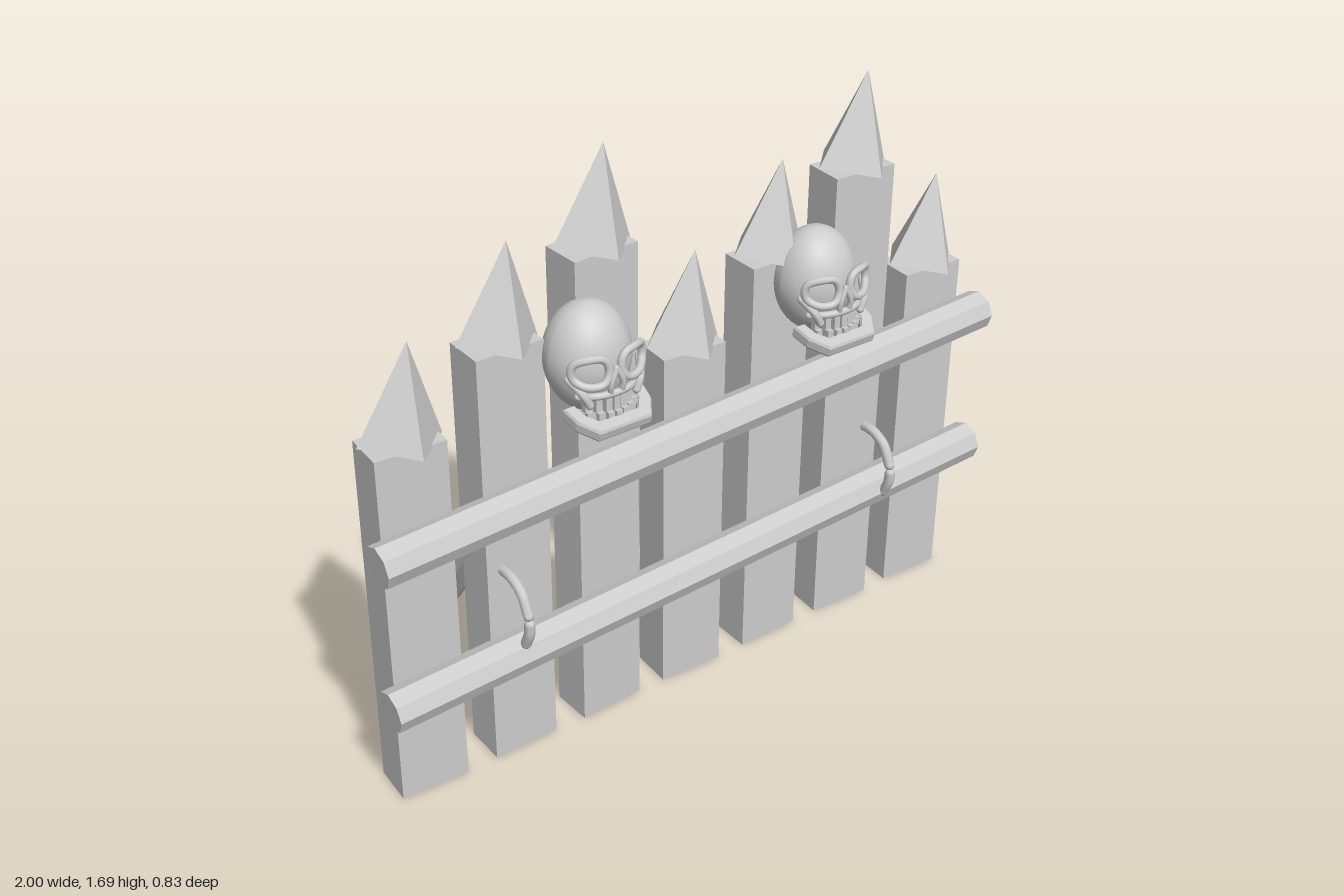
import * as THREE from 'three';

const grey = new THREE.MeshStandardMaterial({ color: 0xcccccc });
const V = (x, y, z) => new THREE.Vector3(x, y, z);

function part(parent, name, geometry, position = V(0, 0, 0)) {
  const mesh = new THREE.Mesh(geometry, grey);
  mesh.name = name;
  mesh.position.copy(position);
  parent.add(mesh);
  return mesh;
}

// Faceted normals for the low-poly timber
function faceted(geometry) {
  const g = geometry.toNonIndexed();
  g.computeVertexNormals();
  return g;
}

// Straight rod with the given number of sides between two points
function rod(parent, name, a, b, radius, sides = 8) {
  const dir = b.clone().sub(a);
  const g = faceted(new THREE.CylinderGeometry(radius, radius, dir.length(), sides));
  const mesh = part(parent, name, g, a.clone().add(b).multiplyScalar(0.5));
  mesh.quaternion.setFromUnitVectors(V(0, 1, 0), dir.normalize());
  return mesh;
}

// Curved bar with rounded ends
function bar(parent, name, points, radius, closed = false, segments = 16) {
  const curve = new THREE.CatmullRomCurve3(points, closed);
  part(parent, name, new THREE.TubeGeometry(curve, segments, radius, 8, closed));
  if (closed) return;
  for (const p of [points[0], points[points.length - 1]]) {
    part(parent, name + 'End', new THREE.SphereGeometry(radius, 8, 6), p);
  }
}

function makeSkull(x) {
  const skull = new THREE.Group();
  skull.name = 'skull';
  skull.position.set(x, 0, 0);

  // Egg-shaped cranium, narrower towards the bottom
  const egg = new THREE.SphereGeometry(1, 28, 20);
  const p = egg.attributes.position;
  for (let i = 0; i < p.count; i++) {
    const y = p.getY(i);
    const k = 1 + 0.08 * Math.min(y, 0);
    p.setXYZ(i, p.getX(i) * 0.118 * k, y * 0.15, p.getZ(i) * 0.108 * k);
  }
  egg.computeVertexNormals();
  part(skull, 'cranium', egg, V(0, 1.186, 0.245));

  for (const s of [-1, 1]) {
    // Eye socket rim, cheekbone and nose side
    const rim = [[0.018, 1.2, 0.37], [0.03, 1.232, 0.366], [0.068, 1.24, 0.358], [0.102, 1.225, 0.335],
      [0.104, 1.19, 0.335], [0.078, 1.168, 0.36], [0.035, 1.17, 0.374]];
    bar(skull, 'eyeSocket', rim.map(([a, b, c]) => V(s * a, b, c)), 0.011, true, 28);
    bar(skull, 'cheekbone', [V(s * 0.106, 1.18, 0.32), V(s * 0.085, 1.145, 0.355),
      V(s * 0.07, 1.115, 0.36)], 0.011, false, 8);
    bar(skull, 'noseSide', [V(0, 1.205, 0.375), V(s * 0.018, 1.165, 0.378),
      V(s * 0.016, 1.137, 0.372)], 0.008, false, 8);
  }

  // Upper jaw and its row of teeth
  bar(skull, 'upperJaw', [V(-0.085, 1.13, 0.33), V(-0.05, 1.135, 0.363), V(0, 1.135, 0.372),
    V(0.05, 1.135, 0.363), V(0.085, 1.13, 0.33)], 0.01);
  for (let i = -3; i <= 3; i++) {
    const z = 0.37 - 0.0035 * i * i;
    part(skull, 'upperTooth', new THREE.BoxGeometry(0.018, 0.045, 0.016), V(i * 0.022, 1.11, z));
    part(skull, 'lowerTooth', new THREE.BoxGeometry(0.017, 0.022, 0.014), V(i * 0.022, 1.08, z + 0.012));
  }

  // Angular lower jaw sloping forwards
  const outline = [[-0.115, 0.0], [-0.108, 0.05], [-0.075, 0.102], [0.075, 0.102], [0.108, 0.05], [0.115, 0.0],
    [0.088, 0.0], [0.082, 0.04], [0.058, 0.072], [-0.058, 0.072], [-0.082, 0.04], [-0.088, 0.0]];
  const shape = new THREE.Shape(outline.map(([a, b]) => new THREE.Vector2(a, b)));
  const jaw = new THREE.ExtrudeGeometry(shape, { depth: 0.022, bevelEnabled: true,
    bevelSize: 0.004, bevelThickness: 0.007, bevelSegments: 1 });
  jaw.rotateX(Math.PI / 2);
  part(skull, 'lowerJaw', jaw, V(0, 1.093, 0.315)).rotation.x = 0.3;
  return skull;
}

function makeHook(x) {
  const hook = new THREE.Group();
  hook.name = 'hook';
  hook.position.x = x;
  // Arched upper link and the straight link hanging from it
  bar(hook, 'upperLink', [V(0, 0.612, 0.2), V(0, 0.613, 0.25), V(0, 0.59, 0.3), V(0, 0.535, 0.331)], 0.015);
  bar(hook, 'lowerLink', [V(0, 0.51, 0.336), V(0, 0.48, 0.333), V(0, 0.437, 0.314)], 0.015, false, 8);
  return hook;
}

export function createModel() {
  const model = new THREE.Group();
  model.name = 'spikedFence';

  // Planks, each slightly turned and topped with a leaning four-sided spike
  const heights = [1.06, 1.245, 1.43, 1.06, 1.245, 1.43, 1.06];
  const turns = [-0.05, 0.01, 0.05, -0.05, 0.01, -0.05, -0.05];
  heights.forEach((h, i) => {
    const x = -0.855 + i * 0.285;
    part(model, 'plank', new THREE.BoxGeometry(0.196, h, 0.122), V(x, h / 2, 0.15)).rotation.y = turns[i];
    const spike = faceted(new THREE.ConeGeometry(0.119, 0.265, 4));
    spike.translate(0, 0.1325, 0);
    part(model, 'spike', spike, V(x, h, 0.15)).rotation.z = -0.145;
  });

  // Sloping rails across the front
  for (const y of [0.805, 0.355]) {
    rod(model, 'rail', V(-0.998, y, 0.262), V(0.998, y + 0.1, 0.262), 0.058);
  }

  // Braces behind, hooks and skulls in front
  for (const s of [-1, 1]) {
    rod(model, 'brace', V(s * 0.62, 0.067, -0.363), V(s * 0.62, 0.735, 0.143), 0.069);
    model.add(makeHook(s * 0.62));
    model.add(makeSkull(s * 0.368));
  }
  return model;
}
